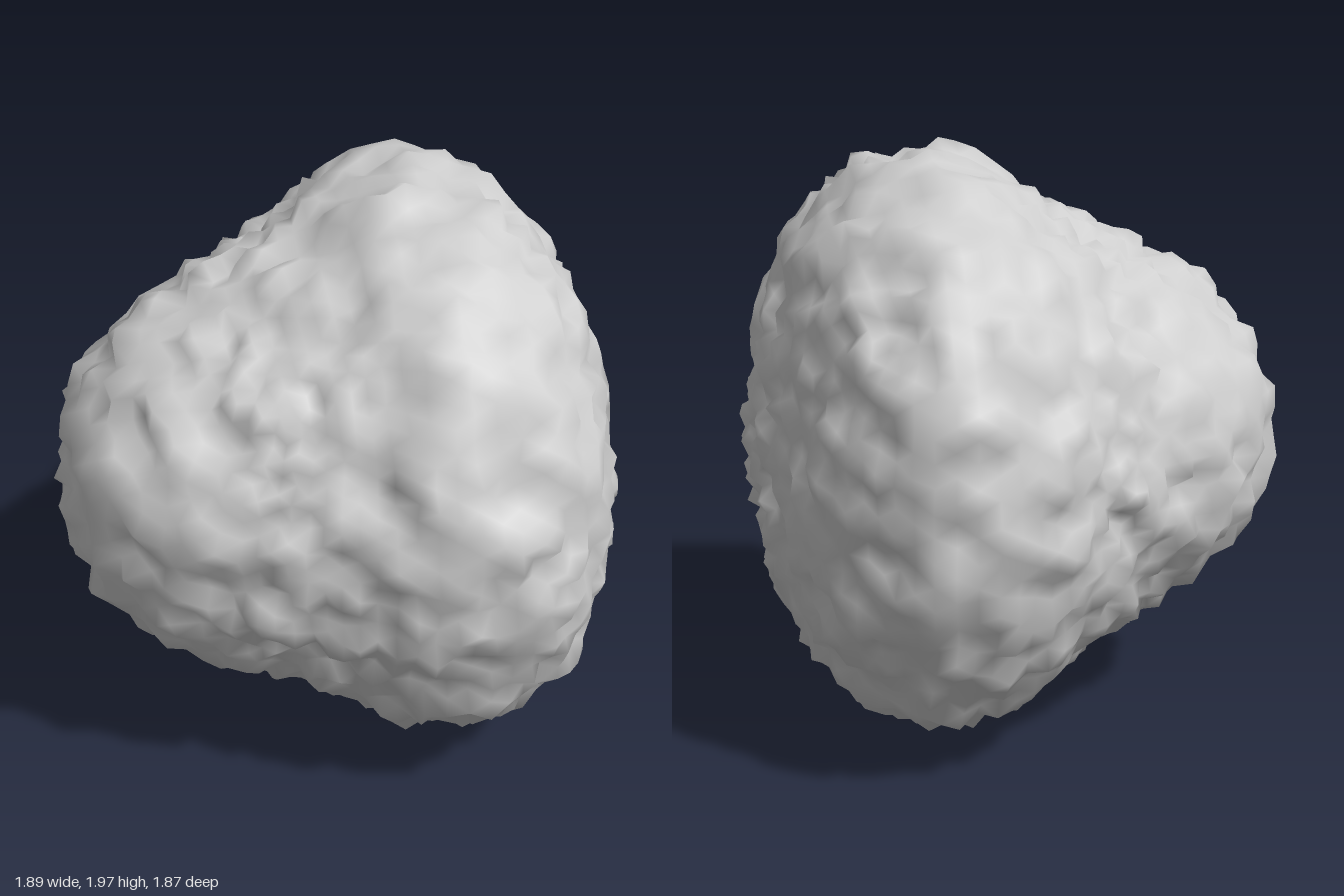
import * as THREE from 'three';
import { mergeVertices } from 'three/addons/utils/BufferGeometryUtils.js';

// Small seeded random source
function seeded(seed) {
  return () => {
    seed = (seed * 1664525 + 1013904223) % 4294967296;
    return seed / 4294967296;
  };
}

// Radius from the blunt tip (0 degrees) over the waist and rim to the flat end (180), every 15 degrees
const RADII = [1.01, 1.0, 0.945, 0.855, 0.805, 0.825, 0.925, 0.985, 0.955, 0.87, 0.79, 0.755, 0.75];

function profileRadius(angle) {
  const t = (angle / Math.PI) * 12;
  const i = Math.min(11, Math.floor(t));
  const at = (k) => RADII[k < 0 ? -k : k > 12 ? 24 - k : k];
  const f = t - i;
  const [a, b, c, d] = [at(i - 1), at(i), at(i + 1), at(i + 2)];
  return b + 0.5 * f * (c - a + f * (2 * a - 5 * b + 4 * c - d + f * (3 * (b - c) + d - a)));
}

export function createModel() {
  const rockGrey = new THREE.MeshStandardMaterial({ color: 0xcecece });
  rockGrey.name = 'rock grey';
  const random = seeded(7);

  // Soft lumps: a sum of waves in random directions
  const waves = Array.from({ length: 14 }, () => ({
    dir: new THREE.Vector3(random() - 0.5, random() - 0.5, random() - 0.5).normalize().multiplyScalar(14 + 14 * random()),
    phase: random() * Math.PI * 2,
  }));

  let geometry = new THREE.IcosahedronGeometry(1, 16);
  geometry.deleteAttribute('normal');
  geometry.deleteAttribute('uv');
  geometry = mergeVertices(geometry, 1e-4);

  // Pear-shaped body with a jagged skin: the tip points right-front, the flat end left-back
  const axis = new THREE.Vector3(-0.8, 0, 0.6);
  const position = geometry.attributes.position;
  const v = new THREE.Vector3();
  for (let i = 0; i < position.count; i++) {
    v.fromBufferAttribute(position, i).normalize();
    let lump = 0;
    for (const w of waves) lump += Math.sin(v.dot(w.dir) + w.phase);
    const r = profileRadius(v.angleTo(axis)) + 0.003 * lump + 0.07 * (random() - 0.5);
    v.multiplyScalar(r);
    position.setXYZ(i, v.x, v.y, v.z);
  }

  // Centre the rock and stand it on the ground
  geometry.center();
  geometry.translate(0, -geometry.boundingBox.min.y, 0);
  geometry.computeVertexNormals();

  const rock = new THREE.Mesh(geometry, rockGrey);
  rock.name = 'rock';
  const model = new THREE.Group();
  model.name = 'roughRock';
  model.add(rock);
  return model;
}
